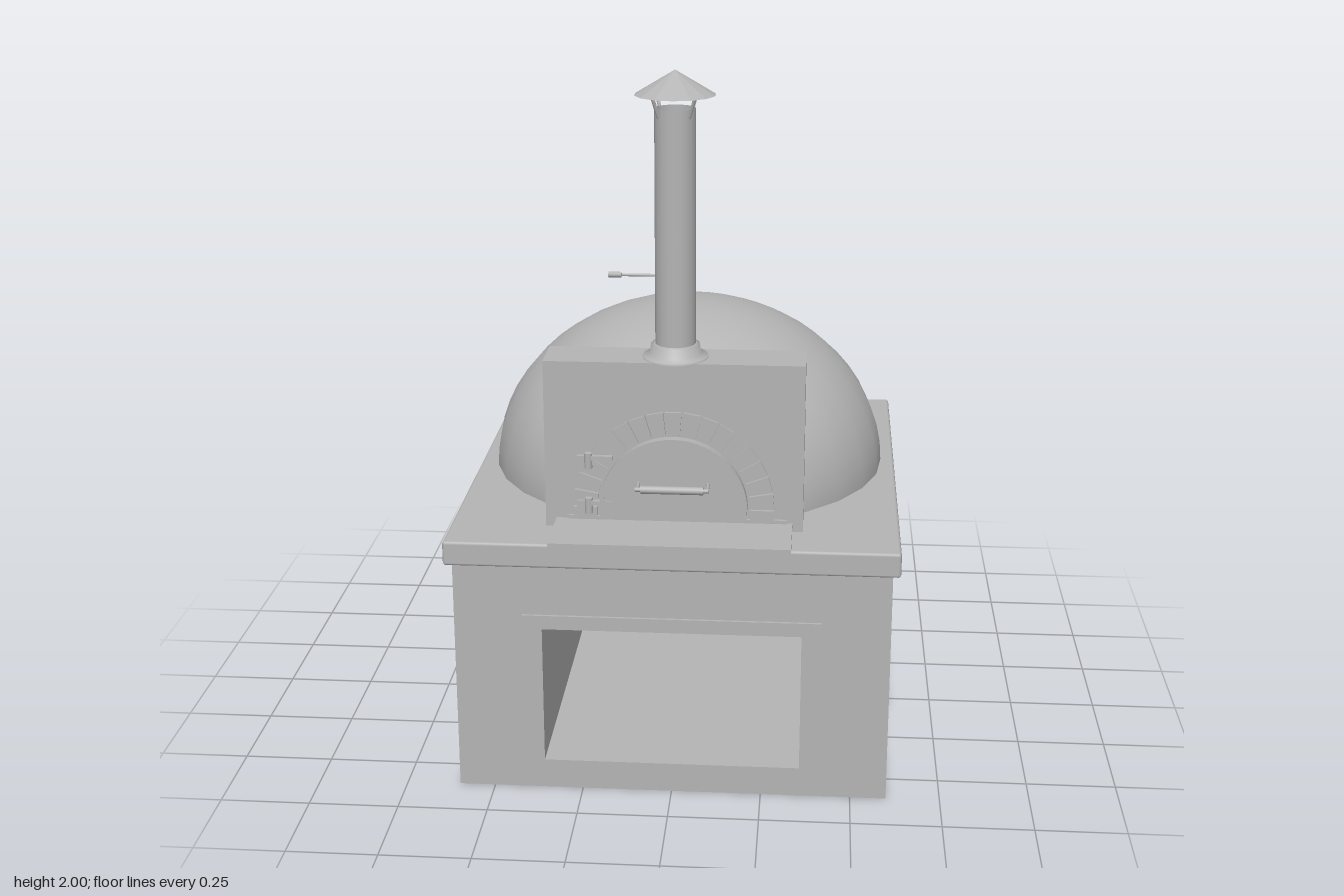
import * as THREE from 'three';
import { RoundedBoxGeometry } from 'three/addons/geometries/RoundedBoxGeometry.js';

export function createModel() {
  const root = new THREE.Group();
  const stone = new THREE.MeshStandardMaterial({ color: 0xb4b4b4, side: THREE.DoubleSide });
  stone.name = 'plain grey';

  const add = (name, geo, x = 0, y = 0, z = 0, parent = root) => {
    const m = new THREE.Mesh(geo, stone);
    m.name = name;
    m.position.set(x, y, z);
    parent.add(m);
    return m;
  };
  const group = (name) => {
    const g = new THREE.Group();
    g.name = name;
    root.add(g);
    return g;
  };
  // box given by its lower and upper limits on each axis
  const box = (name, [x0, x1], [y0, y1], [z0, z1], parent = root) =>
    add(name, new THREE.BoxGeometry(x1 - x0, y1 - y0, z1 - z0),
      (x0 + x1) / 2, (y0 + y1) / 2, (z0 + z1) / 2, parent);
  const rod = (name, r, from, to, parent = root, sides = 10) => {
    const a = new THREE.Vector3(...from), b = new THREE.Vector3(...to);
    const d = b.clone().sub(a);
    const m = add(name, new THREE.CylinderGeometry(r, r, d.length(), sides), 0, 0, 0, parent);
    m.position.copy(a).add(b).multiplyScalar(0.5);
    m.quaternion.setFromUnitVectors(new THREE.Vector3(0, 1, 0), d.normalize());
    return m;
  };
  const flat = (geo) => {
    const g = geo.toNonIndexed();
    g.computeVertexNormals();
    return g;
  };
  const rect = (Kind, x0, x1, y0, y1) => new Kind([
    new THREE.Vector2(x0, y0), new THREE.Vector2(x1, y0),
    new THREE.Vector2(x1, y1), new THREE.Vector2(x0, y1)]);

  // Hollow base, open underneath, with a wood niche in the front wall
  const base = group('base');
  const W = 0.6, H = 0.69, F = 0.61, B = -0.67, N = 0.357, n0 = 0.085, n1 = 0.49, nB = -0.25;
  const front = rect(THREE.Shape, -W, W, 0, H);
  front.holes.push(rect(THREE.Path, -N, N, n0, n1));
  add('frontWall', new THREE.ShapeGeometry(front), 0, 0, F, base);
  add('backWall', new THREE.PlaneGeometry(2 * W, H), 0, H / 2, B, base).rotation.y = Math.PI;
  for (const s of [-1, 1]) {
    add('sideWall', new THREE.PlaneGeometry(F - B, H), s * W, H / 2, (F + B) / 2, base).rotation.y = s * Math.PI / 2;
    add('nicheSide', new THREE.PlaneGeometry(F - nB, n1 - n0), s * N, (n0 + n1) / 2, (F + nB) / 2, base)
      .rotation.y = -s * Math.PI / 2;
  }
  for (const [name, y, s] of [['nicheFloor', n0, -1], ['nicheCeiling', n1, 1]])
    add(name, new THREE.PlaneGeometry(2 * N, F - nB), 0, y, (F + nB) / 2, base).rotation.x = s * Math.PI / 2;
  add('nicheBack', new THREE.PlaneGeometry(2 * N, n1 - n0), 0, (n0 + n1) / 2, nB, base);
  box('lintel', [-0.41, 0.41], [0.49, 0.53], [F, F + 0.008], base);

  // Worktop and dome
  add('worktop', new RoundedBoxGeometry(1.24, 0.07, 1.33, 1, 0.008), 0, 0.715, -0.025);
  const dome = new THREE.SphereGeometry(0.58, 28, 14, 0, Math.PI * 2, 0, Math.PI / 2);
  dome.scale(1, 0.49 / 0.58, 1);
  add('dome', dome, 0, 0.75, -0.105);

  // Front block and landing shelf
  box('frontBlock', [-0.354, 0.354], [0.75, 1.225], [0.358, 0.5]);
  box('shelf', [-0.325, 0.325], [0.752, 0.775], [0.5, 0.69]);
  box('doorSill', [-0.29, 0.31], [0.775, 0.785], [0.5, 0.508]);

  // Arch of bricks around the mouth
  const arch = group('brickArch');
  const cy = 0.815, rIn = 0.21, rOut = 0.275, count = 17, gap = 0.012;
  for (let i = 0; i < count; i++) {
    const a = (i / count) * Math.PI + gap, b = ((i + 1) / count) * Math.PI - gap;
    const s = new THREE.Shape([[rIn, a], [rOut, a], [rOut, b], [rIn, b]]
      .map(([r, t]) => new THREE.Vector2(r * Math.cos(t), r * Math.sin(t))));
    add('archBrick', new THREE.ExtrudeGeometry(s, { depth: 0.01, bevelEnabled: false }), 0, cy, 0.499, arch);
  }
  for (const s of [-1, 1])
    box('footBrick', s < 0 ? [-rOut, -rIn] : [rIn, rOut], [0.785, cy - 0.003], [0.499, 0.509], arch);

  // Arched door with handle and hinges
  const door = group('door');
  const leaf = new THREE.Shape();
  leaf.moveTo(-0.2, -0.03);
  leaf.lineTo(0.2, -0.03);
  leaf.lineTo(0.2, 0);
  leaf.absarc(0, 0, 0.2, 0, Math.PI, false);
  add('doorLeaf', new THREE.ExtrudeGeometry(leaf, { depth: 0.02, bevelEnabled: false, curveSegments: 16 }),
    0, cy, 0.5, door);
  const trim = new THREE.Shape();
  trim.absarc(0, 0, 0.203, 0, Math.PI, false);
  trim.absarc(0, 0, 0.19, Math.PI, 0, true);
  add('doorTrim', new THREE.ExtrudeGeometry(trim, { depth: 0.026, bevelEnabled: false, curveSegments: 16 }),
    0, cy, 0.5, door);
  rod('doorGrip', 0.011, [-0.085, 0.89, 0.572], [0.085, 0.89, 0.572], door);
  for (const s of [-1, 1]) {
    rod('gripEnd', 0.006, [s * 0.085, 0.89, 0.572], [s * 0.1, 0.89, 0.572], door);
    rod('gripPost', 0.005, [s * 0.095, 0.89, 0.515], [s * 0.095, 0.89, 0.572], door);
  }
  for (const y of [0.95, 0.82]) {
    rod('hingePin', 0.011, [-0.232, y - 0.022, 0.518], [-0.232, y + 0.022, 0.518], door);
    box('hingePlate', [-0.265, -0.225], [y - 0.012, y + 0.012], [0.505, 0.515], door);
    box('hingeStrap', [-0.23, -0.165], [y + 0.003, y + 0.015], [0.512, 0.526], door);
  }

  // Chimney pipe, flange, damper and rain cap
  const chimney = group('chimney');
  const cz = 0.43, V = (x, y) => new THREE.Vector2(x, y);
  add('pipe', new THREE.CylinderGeometry(0.055, 0.055, 0.675, 20, 1, true), 0, 1.5625, cz, chimney);
  add('flange', new THREE.LatheGeometry(
    [V(0.09, 1.222), V(0.09, 1.23), V(0.07, 1.237), V(0.066, 1.262), V(0.055, 1.264)], 20), 0, 0, cz, chimney);
  for (let i = 0; i < 4; i++) {
    const t = Math.PI / 4 + i * Math.PI / 2, c = Math.cos(t), s = Math.sin(t);
    rod('capStrut', 0.005, [0.056 * c, 1.88, cz + 0.056 * s], [0.082 * c, 1.945, cz + 0.082 * s], chimney, 6);
  }
  add('rainCap', flat(new THREE.ConeGeometry(0.108, 0.065, 14, 1, true)), 0, 1.9675, cz, chimney);
  rod('damperRod', 0.004, [-0.05, 1.45, cz], [-0.15, 1.45, cz], chimney, 8);
  rod('damperGrip', 0.008, [-0.145, 1.45, cz], [-0.18, 1.45, cz], chimney, 8);

  return root;
}
